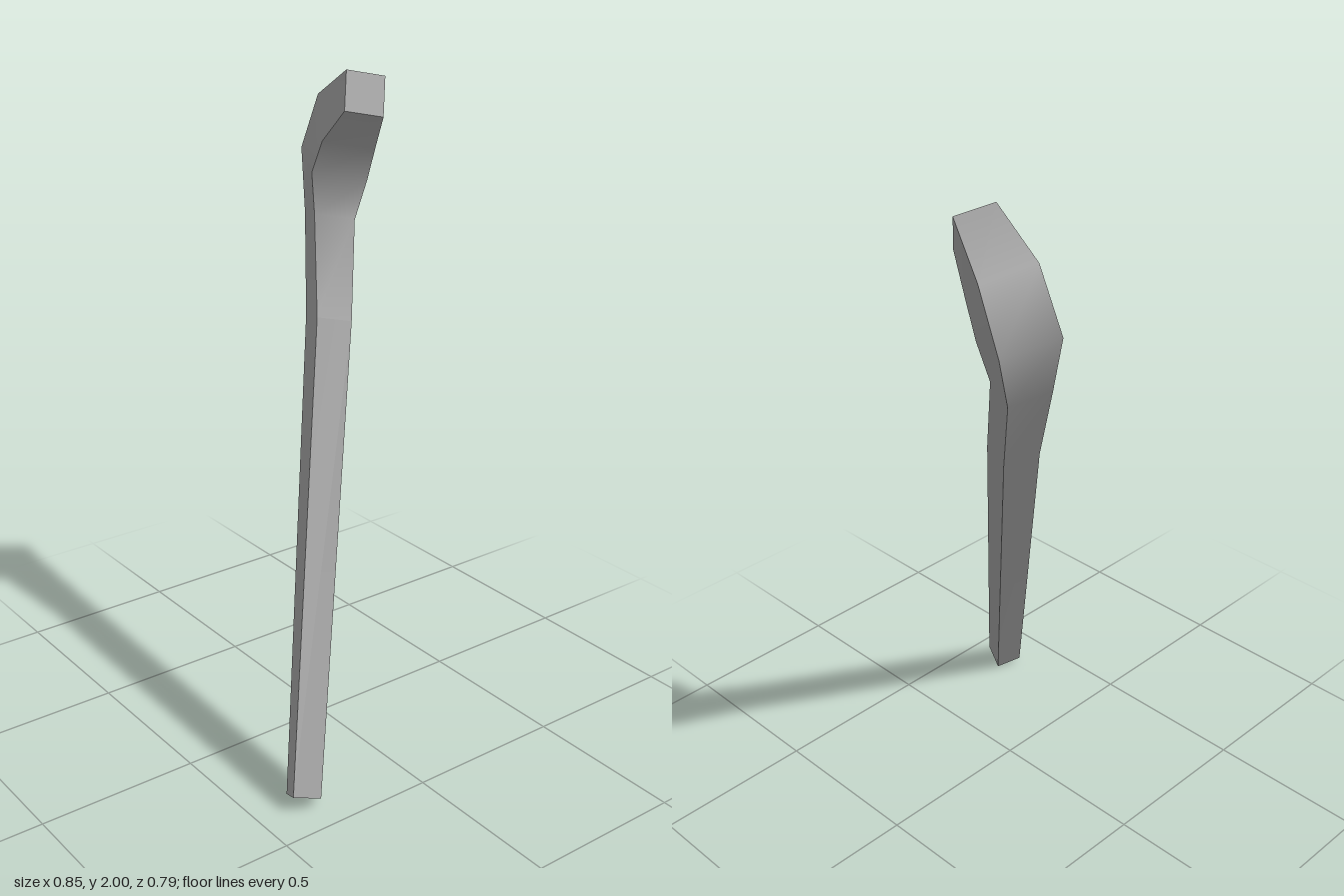
import * as THREE from 'three';

// Cross-sections from foot to tip: front outer corner, front inner corner, depth in z
const SECTIONS = [
  [[0.32, 0.02, 0.37], [0.39, 0.057, 0.396], 0.075],
  [[-0.22, 1.26, -0.105], [-0.13, 1.28, -0.08], 0.098],
  [[-0.36, 1.54, -0.205], [-0.25, 1.56, -0.16], 0.115],
  [[-0.425, 1.725, -0.24], [-0.25, 1.69, -0.15], 0.157],
  [[-0.342, 1.9, -0.242], [-0.205, 1.79, -0.155], 0.148],
  [[-0.155, 2.0, -0.205], [-0.115, 1.89, -0.168], 0.107],
];

// Direction from the front face to the back face, per unit of depth
const BACKWARD = new THREE.Vector3(0.44, -0.21, -1);

function ring([outer, inner, depth]) {
  const a = new THREE.Vector3(...outer);
  const b = new THREE.Vector3(...inner);
  const c = b.clone().addScaledVector(BACKWARD, depth);
  const d = a.clone().addScaledVector(BACKWARD, depth);
  return [a, b, c, d];
}

// A strip of quads between pairs of points, smooth along its length
function strip(pairs, material) {
  const geometry = new THREE.BufferGeometry().setFromPoints(pairs.flat());
  const index = [];
  for (let i = 0; i < pairs.length - 1; i++) {
    const p = i * 2;
    index.push(p, p + 1, p + 3, p, p + 3, p + 2);
  }
  geometry.setIndex(index);
  geometry.computeVertexNormals();
  return new THREE.Mesh(geometry, material);
}

export function createModel() {
  const model = new THREE.Group();
  model.name = 'curvedStick';
  const grey = new THREE.MeshStandardMaterial({ color: 0x999999 });
  grey.name = 'grey';

  const rings = SECTIONS.map(ring);

  // Four long sides, with sharp edges between them
  ['frontSide', 'innerSide', 'backSide', 'outerSide'].forEach((name, k) => {
    const side = strip(rings.map((r) => [r[k], r[(k + 1) % 4]]), grey);
    side.name = name;
    model.add(side);
  });

  // Flat ends
  const [a, b, c, d] = rings[0];
  const foot = strip([[d, c], [a, b]], grey);
  foot.name = 'footEnd';
  const [e, f, g, h] = rings[rings.length - 1];
  const tip = strip([[e, f], [h, g]], grey);
  tip.name = 'tipEnd';
  model.add(foot, tip);

  return model;
}
